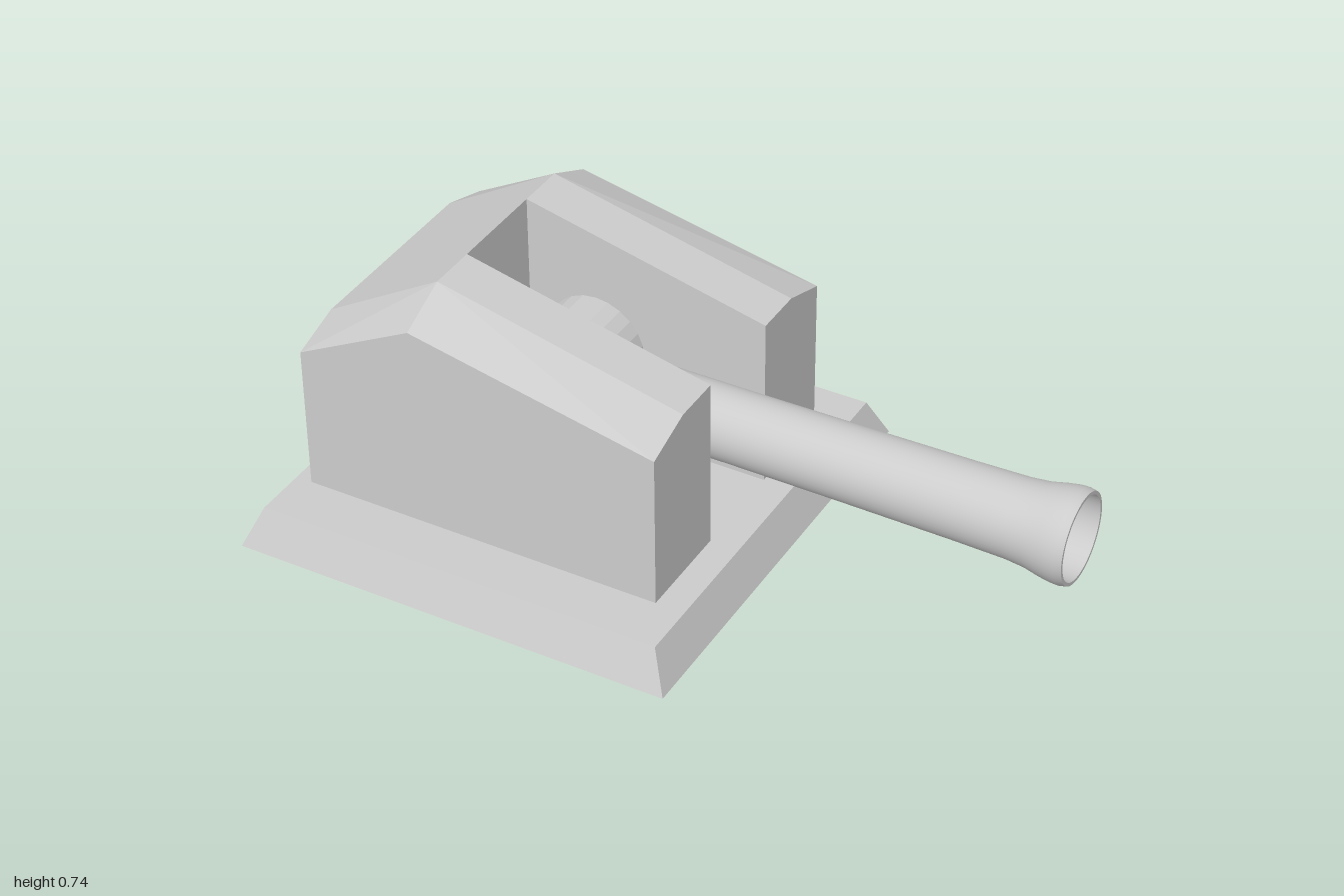
import * as THREE from 'three';
import { ConvexGeometry } from 'three/addons/geometries/ConvexGeometry.js';

const grey = () => new THREE.MeshStandardMaterial({ color: 0xcccccc, flatShading: true });

// Solid hull with flat faces through a few corner points
function hull(name, points) {
  const mesh = new THREE.Mesh(new ConvexGeometry(points.map((p) => new THREE.Vector3(...p))), grey());
  mesh.name = name;
  return mesh;
}

export function createModel() {
  const model = new THREE.Group();
  model.name = 'gunTurret';

  // Base plate with sloping sides
  const BASE_TOP = 0.107;
  const basePoints = [];
  for (const [y, inset] of [[0, 0], [BASE_TOP, 0.046]])
    for (const x of [-1 + inset, 0.21 - inset])
      for (const z of [-0.605 + inset, 0.605 - inset]) basePoints.push([x, y, z]);
  model.add(hull('basePlate', basePoints));

  // Housing stations along x: [x, eave height, roof height]
  const back = [-0.91, 0.507, 0.55];
  const ridge = [-0.59, 0.673, 0.738];
  const front = [0.085, 0.533, 0.58];
  const WALL = 0.415, SHOULDER = 0.275, SLOT = 0.14;
  // Half of a housing cross-section, from zInner out to the wall
  const section = ([x, eave, roof], side, zInner) => [
    [x, BASE_TOP, side * zInner],
    [x, BASE_TOP, side * WALL],
    [x, eave, side * WALL],
    [x, roof, side * SHOULDER],
    [x, roof, side * zInner],
  ];

  // Rear housing spans the full width
  model.add(hull('rearHousing', [back, ridge].flatMap((s) =>
    [-1, 1].flatMap((side) => section(s, side, SHOULDER)))));

  // Two cheeks either side of the barrel slot
  for (const [name, side] of [['frontCheek', 1], ['backCheek', -1]])
    model.add(hull(name, [ridge, front].flatMap((s) => section(s, side, SLOT))));

  // Pivot drum across the slot
  const AXIS_Y = 0.365;
  const drumGeo = new THREE.CylinderGeometry(0.14, 0.14, SLOT * 2, 24);
  drumGeo.rotateX(Math.PI / 2);
  const drum = new THREE.Mesh(drumGeo, grey());
  drum.name = 'pivotDrum';
  drum.position.set(-0.397, AXIS_Y, 0);
  model.add(drum);

  // Hollow barrel with flared muzzle: [radius, distance along x]
  const outer = [
    [0.094, -0.36], [0.094, 0.1], [0.096, 0.4], [0.099, 0.7], [0.102, 0.84],
    [0.107, 0.89], [0.116, 0.93], [0.121, 0.96], [0.122, 0.98], [0.118, 1],
  ];
  const bore = [
    [0.109, 1], [0.108, 0.96], [0.1, 0.91], [0.092, 0.85], [0.087, 0.7], [0.084, 0.1], [0.084, -0.36],
  ];
  const lip = [outer[outer.length - 1], bore[0]];
  const barrel = new THREE.Group();
  barrel.name = 'barrel';
  for (const [name, profile] of [['barrelTube', outer], ['muzzleLip', lip], ['barrelBore', bore]]) {
    const geo = new THREE.LatheGeometry(profile.map(([r, d]) => new THREE.Vector2(r, d)), 48);
    geo.rotateZ(-Math.PI / 2);
    const mesh = new THREE.Mesh(geo, new THREE.MeshStandardMaterial({ color: 0xcccccc }));
    mesh.name = name;
    barrel.add(mesh);
  }
  barrel.position.y = AXIS_Y;
  model.add(barrel);

  return model;
}
